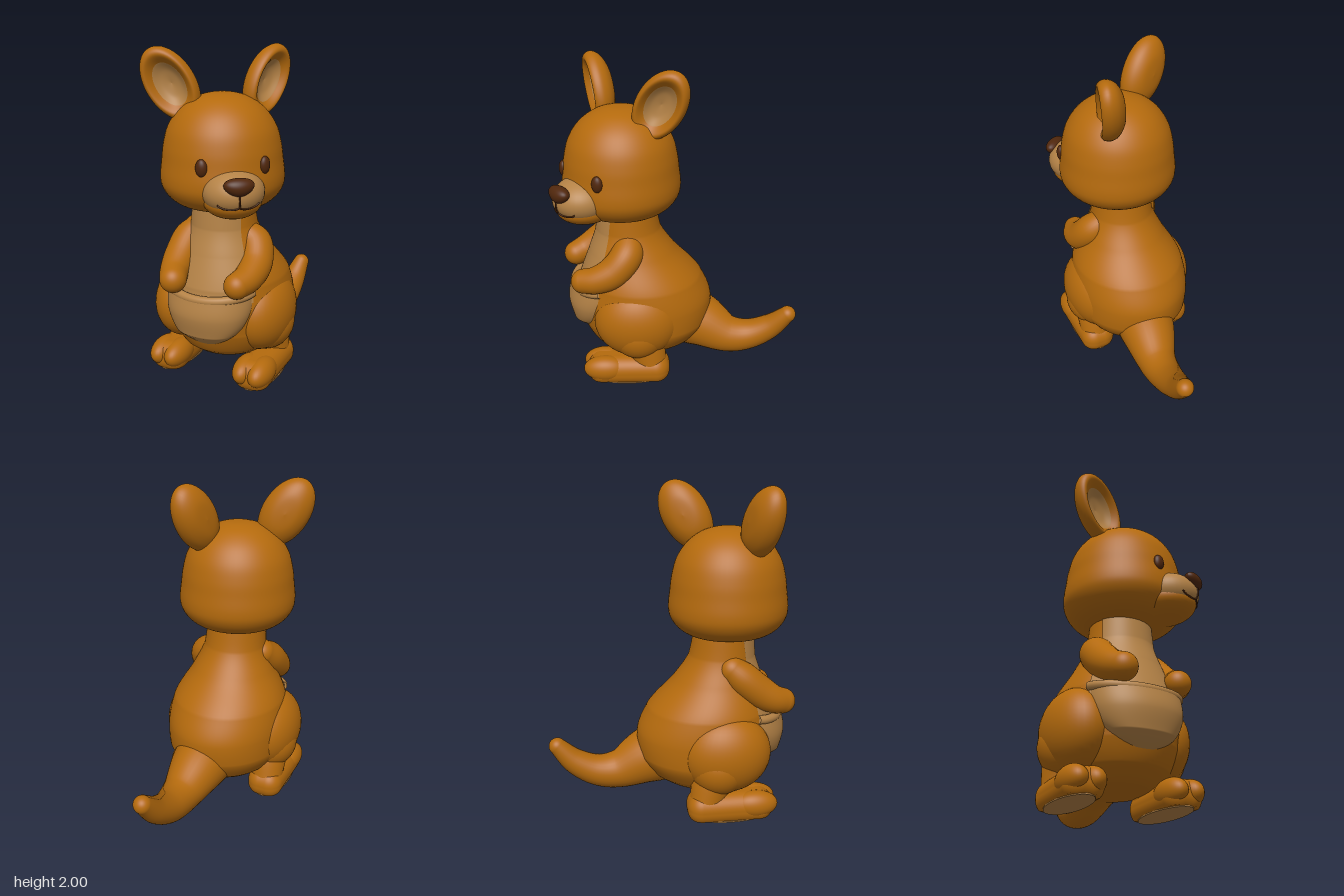
import * as THREE from 'three';
import { RoundedBoxGeometry } from 'three/addons/geometries/RoundedBoxGeometry.js';
import { ParametricGeometry } from 'three/addons/geometries/ParametricGeometry.js';

const V = (x, y, z) => new THREE.Vector3(x, y, z);
const flat = (name, color) => Object.assign(new THREE.MeshStandardMaterial({ color }), { name });

export function createModel() {
  const fur = flat('brown fur', 0xb46a0d);
  const tan = flat('tan fur', 0xb48246);
  tan.side = THREE.DoubleSide;
  const dark = flat('dark brown', 0x50270c);

  const model = new THREE.Group();
  model.name = 'kangaroo';

  const add = (parent, name, geometry, material) => {
    const mesh = new THREE.Mesh(geometry, material);
    mesh.name = name;
    parent.add(mesh);
    return mesh;
  };
  const ball = (parent, name, material, pos, radii) => {
    const mesh = add(parent, name, new THREE.SphereGeometry(1, 40, 28).scale(...radii), material);
    mesh.position.set(...pos);
    return mesh;
  };
  // Limb with a changing radius and round ends; each point is [x, y, z, radius]
  const limb = (parent, name, material, points) => {
    const group = new THREE.Group();
    group.name = name;
    parent.add(group);
    const curve = new THREE.CatmullRomCurve3(points.map(p => V(p[0], p[1], p[2])));
    const radius = new THREE.CatmullRomCurve3(points.map(p => V(p[3], 0, 0)));
    const n = 40, m = 32;
    const geo = new THREE.TubeGeometry(curve, n, 1, m);
    const pos = geo.attributes.position, v = V(0, 0, 0);
    for (let i = 0; i <= n; i++) {
      const c = curve.getPointAt(i / n);
      const r = radius.getPoint(curve.getUtoTmapping(i / n)).x;
      for (let j = 0; j <= m; j++) {
        const k = i * (m + 1) + j;
        v.fromBufferAttribute(pos, k).sub(c).multiplyScalar(r).add(c);
        pos.setXYZ(k, v.x, v.y, v.z);
      }
    }
    add(group, name + 'Tube', geo, material);
    for (const p of [points[0], points[points.length - 1]]) {
      ball(group, name + 'End', material, p.slice(0, 3), [p[3], p[3], p[3]]);
    }
  };

  // Lower body is turned toward the model's right
  const lower = new THREE.Group();
  lower.name = 'lowerBody';
  lower.position.set(-0.057, 0, -0.057);
  lower.rotation.y = -Math.PI / 4;
  model.add(lower);

  // Torso cross-sections: height, forward shift, half width, half depth
  const sections = [
    [0.10, 0.10, 0.002, 0.002], [0.12, 0.10, 0.20, 0.22], [0.20, 0.10, 0.31, 0.35],
    [0.32, 0.09, 0.375, 0.42], [0.46, 0.10, 0.38, 0.44], [0.62, 0.12, 0.36, 0.395],
    [0.80, 0.17, 0.265, 0.28], [0.95, 0.195, 0.20, 0.205], [1.13, 0.205, 0.18, 0.18],
  ];
  const last = sections.length - 1;
  const spine = new THREE.CatmullRomCurve3(sections.map(s => V(0.015, s[0], s[1])));
  const girth = new THREE.CatmullRomCurve3(sections.map(s => V(s[2], 0, s[3])));
  const torsoAt = (t, angle, out, target) => {
    const c = spine.getPoint(t), g = girth.getPoint(t);
    return target.set(c.x + Math.sin(angle) * (g.x + out), c.y, c.z + Math.cos(angle) * (g.z + out));
  };
  const heightToT = y => {
    let i = 0;
    while (i < last - 1 && y > sections[i + 1][0]) i++;
    return (i + (y - sections[i][0]) / (sections[i + 1][0] - sections[i][0])) / last;
  };
  add(lower, 'torso', new ParametricGeometry(
    (u, v, p) => torsoAt(v, (u - 0.5) * 2 * Math.PI, 0, p), 72, 80), fur);

  // Chest patch follows the torso surface
  add(lower, 'chestPatch', new ParametricGeometry((u, v, p) => {
    const half = 0.85 + 0.2 * v * v;
    torsoAt(heightToT(0.55 + 0.55 * v), (u * 2 - 1) * half, 0.006, p);
  }, 40, 40), tan);

  // Pouch swells from the belly and has a rolled rim
  const rimY = k => 0.58 + 0.03 * k * k;
  add(lower, 'pouch', new ParametricGeometry((u, v, p) => {
    const k = u * 2 - 1;
    const half = 0.04 + 0.82 * Math.pow(1 - Math.pow(1 - v, 2.2), 0.6);
    const y = 0.265 + (rimY(k) - 0.265) * v;
    const out = 0.062 * (1 - Math.pow(Math.abs(k), 4)) * Math.min(1, v * 4) - 0.004;
    torsoAt(heightToT(y), k * half, out, p);
  }, 48, 40), tan);
  const rim = [];
  for (let i = 0; i <= 16; i++) {
    const k = i / 8 - 1;
    rim.push(torsoAt(heightToT(rimY(k)), k * 0.86, 0.034 * (1 - k ** 4), V(0, 0, 0)));
  }
  add(lower, 'pouchRim', new THREE.TubeGeometry(new THREE.CatmullRomCurve3(rim), 60, 0.027, 16), tan);

  // Hind legs
  for (const s of [1, -1]) {
    const side = s > 0 ? 'left' : 'right';
    const thighZ = s > 0 ? 0.145 : 0.185;
    ball(lower, side + 'Thigh', fur, [s * 0.255, 0.405, thighZ], [0.19, 0.25, 0.275]);
    limb(lower, side + 'Ankle', fur, [
      [s * 0.26, 0.33, 0.14, 0.185], [s * 0.275, 0.21, 0.09, 0.125], [s * 0.285, 0.115, 0.065, 0.105]]);
    const foot = new THREE.Group();
    foot.name = side + 'Foot';
    foot.position.set(s * 0.29, 0, 0.205);
    lower.add(foot);
    const base = new RoundedBoxGeometry(0.23, 0.195, 0.53, 8, 0.09).translate(0, 0.068, 0);
    const bp = base.attributes.position;
    for (let i = 0; i < bp.count; i++) bp.setY(i, Math.max(bp.getY(i), 0.006));
    add(foot, 'footBase', base, fur);
    for (const t of [1, -1]) {
      ball(foot, 'toe', fur, [t * 0.05, 0.088, 0.15], [0.076, 0.084, 0.14]);
    }
    add(foot, 'sole', new THREE.CylinderGeometry(1, 1, 0.008, 40).scale(0.105, 1, 0.25)
      .translate(0, 0.004, 0), tan);
  }

  // Tail sweeps back and curls up
  limb(lower, 'tail', fur, [
    [0.03, 0.34, -0.1, 0.21], [0.055, 0.26, -0.28, 0.178], [0.08, 0.167, -0.46, 0.124],
    [0.085, 0.165, -0.6, 0.102], [0.095, 0.23, -0.74, 0.082], [0.112, 0.335, -0.85, 0.055]]);

  // Arms
  limb(model, 'leftArm', fur, [
    [-0.09, 0.9, 0.18, 0.085], [-0.045, 0.845, 0.25, 0.102], [-0.075, 0.755, 0.335, 0.1],
    [-0.15, 0.7, 0.41, 0.087], [-0.23, 0.678, 0.45, 0.077]]);
  limb(model, 'rightArm', fur, [
    [-0.33, 0.9, 0.0, 0.085], [-0.395, 0.845, 0.03, 0.102], [-0.47, 0.76, 0.1, 0.1],
    [-0.525, 0.705, 0.17, 0.087], [-0.55, 0.68, 0.235, 0.08]]);

  // Head
  const head = new THREE.Group();
  head.name = 'head';
  head.position.set(-0.205, 0, 0.125);
  head.rotation.y = -0.11;
  model.add(head);
  const skull = new THREE.SplineCurve([
    [0, 1.078], [0.16, 1.08], [0.255, 1.1], [0.32, 1.145], [0.358, 1.205], [0.366, 1.27], [0.356, 1.36],
    [0.344, 1.45], [0.315, 1.55], [0.255, 1.64], [0.17, 1.705], [0.08, 1.735], [0, 1.74],
  ].map(p => new THREE.Vector2(...p))).getPoints(60);
  skull.forEach(p => { p.x = Math.max(p.x, 0); });
  add(head, 'skull', new THREE.LatheGeometry(skull, 64), fur);

  // Muzzle, chin, nose and mouth
  const mc = [0, 1.235, 0.29], mr = [0.177, 0.134, 0.185];
  ball(head, 'muzzle', tan, mc, mr);
  ball(head, 'chin', fur, [0, 1.178, 0.263], [0.168, 0.1, 0.193]);
  const nose = ball(head, 'nose', dark, [0, 1.297, 0.45], [0.082, 0.051, 0.05]);
  const np = nose.geometry.attributes.position;
  for (let i = 0; i < np.count; i++) np.setX(i, np.getX(i) * (1 + 5 * np.getY(i)));
  nose.geometry.computeVertexNormals();
  const onMuzzle = (x, y) => V(x, y, mc[2] + 0.003 + mr[2] *
    Math.sqrt(Math.max(0, 1 - (x / mr[0]) ** 2 - ((y - mc[1]) / mr[1]) ** 2)));
  const line = (name, points) => add(head, name,
    new THREE.TubeGeometry(new THREE.CatmullRomCurve3(points), 24, 0.005, 8), dark);
  line('lipLine', [1.26, 1.22, 1.183].map(y => onMuzzle(0, y)));
  for (const s of [1, -1]) {
    line('mouthLine', [[0, 1.184], [0.03, 1.175], [0.065, 1.175], [0.095, 1.183], [0.115, 1.197]]
      .map(([x, y]) => onMuzzle(s * x, y)));
    const eye = ball(head, 'eye', dark, [s * 0.176, 1.375, 0.304], [0.034, 0.05, 0.026]);
    eye.rotation.y = s * 0.5;
  }

  // Ears: thick dished shells with a tan lining
  const shell = new THREE.SplineCurve([[0, -0.085], [0.5, -0.075], [0.85, -0.04], [1, 0.008],
    [0.95, 0.05], [0.8, 0.064], [0.58, 0.032]].map(p => new THREE.Vector2(...p))).getPoints(36);
  const dish = new THREE.SplineCurve([[0.58, 0.032], [0.35, 0.006], [0, -0.008]]
    .map(p => new THREE.Vector2(...p))).getPoints(14);
  const earPart = profile => new THREE.LatheGeometry(profile, 48)
    .rotateX(Math.PI / 2).scale(0.145, 0.228, 1);
  for (const s of [1, -1]) {
    const ear = new THREE.Group();
    ear.name = s > 0 ? 'leftEar' : 'rightEar';
    const up = V(s * 0.23, 0.4, -0.09).normalize();
    const out = V(s * 0.51, 0, 0.86);
    out.addScaledVector(up, -out.dot(up)).normalize();
    ear.quaternion.setFromRotationMatrix(
      new THREE.Matrix4().makeBasis(V(0, 0, 0).crossVectors(up, out), up, out));
    ear.position.set(-0.2 + s * 0.278, 1.79, s > 0 ? 0.065 : 0.04);
    add(ear, 'earShell', earPart(shell), fur);
    add(ear, 'earLining', earPart(dish), tan);
    model.add(ear);
  }
  return model;
}
